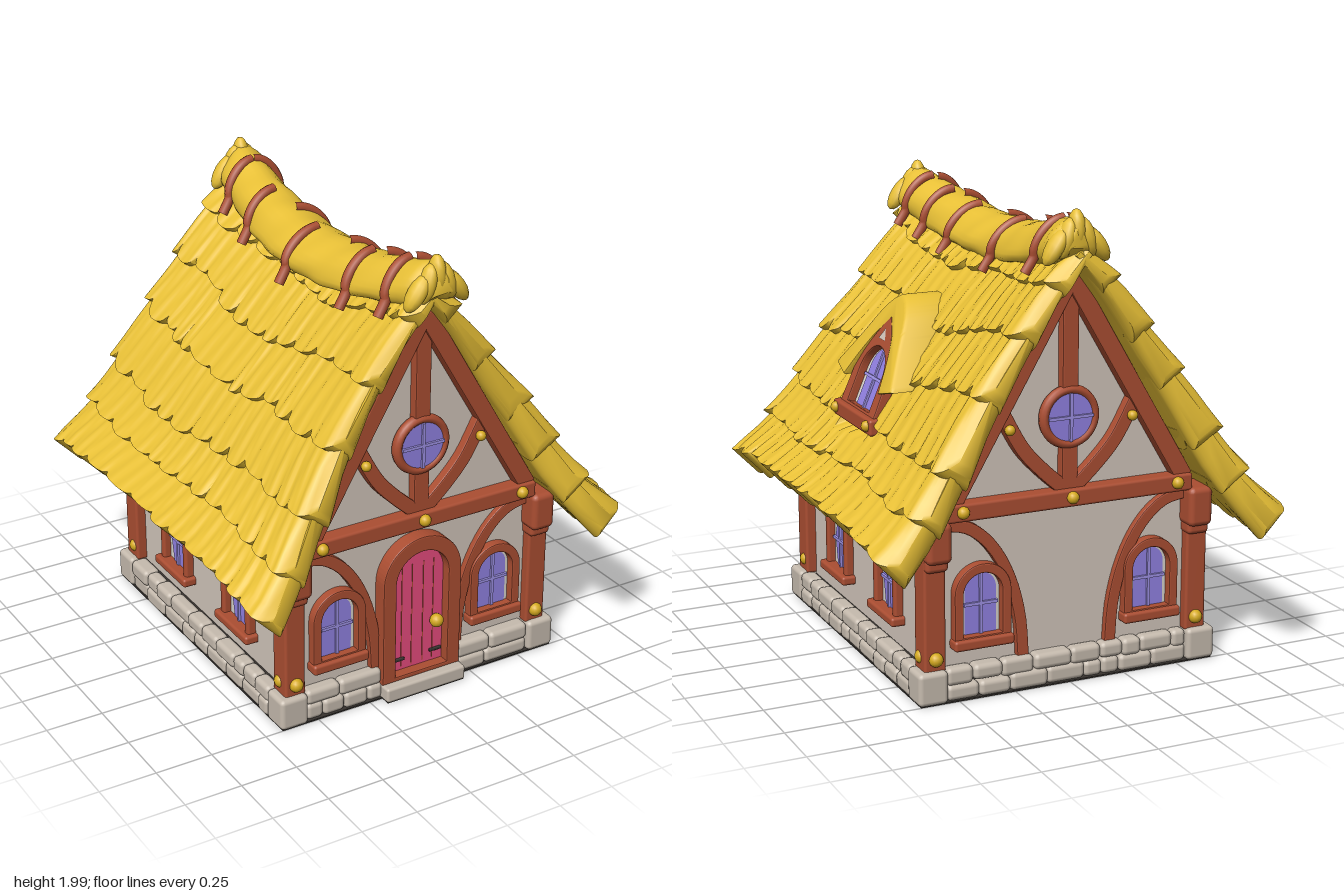
import * as THREE from 'three';
import { toCreasedNormals } from 'three/addons/utils/BufferGeometryUtils.js';
import { RoundedBoxGeometry } from 'three/addons/geometries/RoundedBoxGeometry.js';

const mat = (name, color) => Object.assign(new THREE.MeshStandardMaterial({ color }), { name });
const M = {
  thatch: mat('thatch', 0xe8c036), wood: mat('timber', 0xab4e32), plaster: mat('plaster', 0xd2c6bb),
  stone: mat('stone', 0xc6bbae), mortar: mat('dark mortar', 0x38332f), glass: mat('violet glass', 0x9282e4),
  lead: mat('glazing bar', 0xa598f0), door: mat('pink paint', 0xee4f82), brass: mat('brass', 0xd6ab20),
  curtain: mat('curtain', 0xd9d4cc),
};
let seed = 7;
const rnd = () => (seed = (seed * 16807) % 2147483647) / 2147483647;
const V2 = (x, y) => new THREE.Vector2(x, y);

function add(parent, name, geo, material, x = 0, y = 0, z = 0) {
  const m = new THREE.Mesh(geo, material);
  m.name = name;
  m.position.set(x, y, z);
  parent.add(m);
  return m;
}
const box = (p, name, material, w, h, d, x, y, z, r = 0.012) =>
  add(p, name, new RoundedBoxGeometry(w, h, d, 2, r), material, x, y, z);
const slab = (p, name, shape, depth, material, z = 0, bevel = 0.006) => add(p, name, new THREE.ExtrudeGeometry(shape,
  { depth, bevelEnabled: bevel > 0, bevelSize: bevel, bevelThickness: bevel, bevelSegments: 2, curveSegments: 16 }), material, 0, 0, z);
const bolt = (p, x, y, z, r = 0.026) => add(p, 'brassStud', new THREE.SphereGeometry(r, 14, 10), M.brass, x, y, z);

// Doorway outline: straight sides and a round top
function arch(w, y0, y1) {
  const s = new THREE.Shape([V2(-w, y0), V2(w, y0), V2(w, y1 - w)]);
  s.absarc(0, y1 - w, w, 0, Math.PI);
  s.closePath();
  return s;
}
// Timber of even width along a flat curve
function timber(p, name, pts, width, depth = 0.035) {
  const c = new THREE.SplineCurve(pts.map(([x, y]) => V2(x, y))), n = pts.length > 2 ? 18 : 1, L = [], R = [];
  for (let i = 0; i <= n; i++) {
    const q = c.getPoint(i / n), t = c.getTangent(i / n);
    L.push(V2(q.x - t.y * width / 2, q.y + t.x * width / 2));
    R.unshift(V2(q.x + t.y * width / 2, q.y - t.x * width / 2));
  }
  return slab(p, name, new THREE.Shape([...L, ...R]), depth, M.wood);
}
// Solid through matching closed cross-sections, capped at both ends
function loft(rings, flip = false, crease = 0.7) {
  const n = rings[0].length, pos = [], idx = [];
  const tri = (a, b, c) => (flip ? idx.push(a, c, b) : idx.push(a, b, c));
  rings.forEach((r) => r.forEach((q) => pos.push(...q)));
  for (let i = 0; i < rings.length - 1; i++) for (let j = 0; j < n; j++) {
    const a = i * n + j, b = i * n + (j + 1) % n;
    tri(a, a + n, b);
    tri(b, a + n, b + n);
  }
  const e = (rings.length - 1) * n;
  for (let j = 1; j < n - 1; j++) { tri(0, j, j + 1); tri(e, e + j + 1, e + j); }
  const g = new THREE.BufferGeometry();
  g.setAttribute('position', new THREE.Float32BufferAttribute(pos, 3));
  g.setIndex(idx);
  return toCreasedNormals(g, crease);
}

// Roof slope from ridge to eave
const slope = new THREE.SplineCurve([[0, 1.84], [0.15, 1.68], [0.31, 1.46], [0.47, 1.24], [0.62, 1.0], [0.74, 0.83], [0.88, 0.68]].map(([x, y]) => V2(x, y)));
const sag = (z) => 0.1 * (1 - Math.min(1, (z / 0.82) ** 2));
const COURSES = 6, LOBES = 13;
// Gable overhang, widening towards the eave
function overhang(t, side, back) {
  const wide = Math.max(0, (t - 0.3) / 0.7) ** 1.4;
  return back ? 0.84 + (side < 0 ? 0.13 : 0.06) * wide : 0.76 + 0.03 * (1 - t) ** 4 + (side < 0 ? 0.2 : 0.17) * wide;
}

function thatchCourse(k, side) {
  const last = k === COURSES - 1, t0 = Math.max(0, k / COURSES - 0.08), t1 = (k + 1) / COURSES - 0.04;
  const widths = Array.from({ length: LOBES }, () => 0.5 + rnd()), sum = widths.reduce((a, b) => a + b);
  const cols = [];
  let at = -1;
  widths.forEach((w, i) => {
    const drop = 0.35 + 0.65 * rnd(), step = (2 * w) / sum;
    for (let j = 0; j < 12 + (i === LOBES - 1); j++) cols.push([at + step * j / 12, drop * Math.sqrt(Math.max(0, 4 * j / 12 * (1 - j / 12)))]);
    at += step;
  });
  const phase = rnd() * 6, flare = 0.02 + 0.02 * rnd();
  const rings = cols.map(([s, h]) => {
    const e = Math.max(0, (Math.abs(s) - 0.94) / 0.06), round = Math.sqrt(Math.max(0.15, 1 - 0.85 * e * e));
    const wander = last ? 0 : 0.016 * Math.sin(s * 5 + phase);
    const point = (f, outer) => {
      const t = t0 + (t1 + wander + 0.04 * h - 0.02 * e * e - t0) * f, q = slope.getPoint(t), d = slope.getTangent(t);
      const z = s * (overhang(t, side, s < 0) + flare * f * f - Math.max(0, t - 0.92) * 0.4);
      // Hollow behind the dormer window
      const dent = side > 0 && Math.abs(z - 0.035) < 0.15 && t > 0.42 && t < 0.66 ? 0.06 : 0;
      const furrow = 0.003 * Math.sin(s * 67 + phase + f * 3) + 0.002 * Math.sin(s * 121 + phase * 2 - f * 2);
      let lift = outer ? 0.006 + (0.028 + 0.012 * h) * f + furrow - dent : -0.05 - 0.075 * Math.min(1, t * 1.6);
      lift = -0.045 + (lift + 0.045) * round;
      const hang = last && !outer && f === 1 ? 0.015 * h : 0;
      const droop = t ** 3 * (0.025 - 0.07 * s ** 4);
      return [side * (q.x - d.y * lift), q.y + d.x * lift - sag(z) * (1 - t ** 1.4) - hang + droop, z];
    };
    return [...[0, 0.25, 0.5, 0.75, 0.93, 1].map((f) => point(f, true)), ...[1, 0.5, 0].map((f) => point(f, false))];
  });
  return loft(rings, side < 0, 0.9);
}

// Ridge roll centre line and half sizes
const ridge = (z) => {
  const u = Math.abs(z) / 0.8;
  return { x: 0.025 - 0.07 * (1 - u * u), y: 1.75 + 0.12 * u ** 1.8 - 0.02 * (z > 0) * u, rx: 0.165 - 0.05 * u, ry: 0.083 + 0.01 * u };
};

function buildRoof(root) {
  const roof = new THREE.Group();
  roof.name = 'thatchedRoof';
  root.add(roof);
  for (const side of [1, -1]) for (let k = 0; k < COURSES; k++) add(roof, 'thatchCourse', thatchCourse(k, side), M.thatch);
  const rings = [];
  for (let i = 0; i <= 56; i++) {
    const w = i / 28 - 1, z = w * 0.83 - 0.015, c = ridge(z), end = Math.sqrt(Math.max(0.12, 1 - Math.max(0, (Math.abs(w) - 0.9) / 0.1) ** 2));
    rings.push(Array.from({ length: 28 }, (_, j) => {
      const a = -j / 28 * Math.PI * 2, r = end * (1 + 0.03 * Math.sin(a * 5 + z * 9) + 0.03 * Math.sin(z * 31 + a * 2));
      // The lower sides droop over the slopes
      return [c.x + Math.cos(a) * c.rx * r, c.y + Math.sin(a) * c.ry * r - 0.04 * Math.cos(a) ** 2, z];
    }));
  }
  add(roof, 'ridgeRoll', loft(rings, false, 1), M.thatch);
  // Drooping straw tufts at the ridge ends
  for (const e of [1, -1]) for (let i = -2; i <= 2; i++) {
    const t = add(roof, 'ridgeTuft', new THREE.SphereGeometry(1, 12, 8), M.thatch, 0.02 + i * 0.045, 1.88 - Math.abs(i) * 0.03 + (e < 0 ? 0.025 : 0), e * 0.79 - 0.015);
    t.scale.set(0.036, 0.085, 0.045);
    t.rotation.z = i * 0.3;
  }
  // Bindings: z position and side of the ridge
  for (const [z, s] of [[0.65, 1], [0.47, 1], [0.22, 1], [-0.22, 1], [-0.66, 1], [0.63, -1], [0.4, -1], [-0.01, -1], [-0.41, -1], [-0.66, -1]]) {
    const c = ridge(z), pts = [];
    for (let i = 0; i <= 8; i++) {
      const a = 1.55 - i * 0.21;
      pts.push(new THREE.Vector3(c.x + s * Math.cos(a) * (c.rx + 0.002), c.y + Math.sin(a) * (c.ry + 0.004) - 0.04 * Math.cos(a) ** 2, z + 0.02 * (i / 8 - 0.5)));
    }
    pts.push(new THREE.Vector3(c.x + s * (c.rx + 0.04), c.y - 0.12, z + 0.015));
    add(roof, 'ridgeBinding', new THREE.TubeGeometry(new THREE.CatmullRomCurve3(pts), 24, 0.022, 8), M.wood);
  }
}

// Glazing bars on a window, crossing at the middle height
function bars(g, w, y0, y1, z = 0.012) {
  add(g, 'glazingBar', new THREE.BoxGeometry(0.013, y1 - y0, 0.012), M.lead, 0, (y0 + y1) / 2, z);
  add(g, 'glazingBar', new THREE.BoxGeometry(2 * w, 0.013, 0.012), M.lead, 0, (y0 + y1) / 2, z);
}
const pane = (g, name, shape, m, z) => add(g, name, new THREE.ShapeGeometry(shape, 20), m, 0, 0, z);

function archWindow(parent, x) {
  const g = new THREE.Group();
  g.name = 'archedWindow';
  g.position.x = x;
  parent.add(g);
  const frame = arch(0.12, 0.23, 0.56);
  frame.holes.push(arch(0.092, 0.255, 0.531));
  slab(g, 'windowFrame', frame, 0.035, M.wood);
  box(g, 'windowSill', M.wood, 0.265, 0.045, 0.07, 0, 0.232, 0.025);
  pane(g, 'curtain', arch(0.095, 0.25, 0.535), M.curtain, 0.004);
  pane(g, 'glass', arch(0.07, 0.255, 0.52), M.glass, 0.008);
  bars(g, 0.075, 0.255, 0.525);
}

function squareWindow(parent, x) {
  const g = new THREE.Group();
  g.name = 'squareWindow';
  g.position.x = x;
  parent.add(g);
  for (const s of [-1, 1]) box(g, 'windowJamb', M.wood, 0.036, 0.29, 0.045, s * 0.105, 0.39, 0.015);
  box(g, 'windowHead', M.wood, 0.255, 0.036, 0.05, 0, 0.525, 0.017);
  box(g, 'windowSill', M.wood, 0.285, 0.04, 0.07, 0, 0.248, 0.025);
  add(g, 'curtain', new THREE.PlaneGeometry(0.18, 0.25), M.curtain, 0, 0.388, 0.004);
  pane(g, 'glass', new THREE.Shape([[-0.045, 0.265], [0.045, 0.265], [0.07, 0.39], [0.03, 0.51], [-0.03, 0.51], [-0.07, 0.39]].map(([a, b]) => V2(a, b))), M.glass, 0.008);
  bars(g, 0.075, 0.265, 0.51);
}

function buildGable(root, front) {
  const g = new THREE.Group();
  g.name = front ? 'frontGable' : 'backGable';
  g.position.z = front ? 0.69 : -0.69;
  g.rotation.y = front ? 0 : Math.PI;
  root.add(g);
  box(g, 'crossBeam', M.wood, 1.12, 0.075, 0.09, 0, 0.795, 0.02);
  timber(g, 'kingPost', [[0, 1.24], [0, 1.7]], 0.06);
  timber(g, 'kingPostFoot', [[0, 0.8], [0, 1.03]], 0.06);
  const ring = add(g, 'roundWindowFrame', new THREE.TorusGeometry(0.113, 0.02, 10, 40), M.wood, 0, 1.13, 0.025);
  ring.scale.z = 1.3;
  add(g, 'glass', new THREE.CircleGeometry(0.105, 32), M.glass, 0, 1.13, 0.042);
  bars(g, 0.1, 1.03, 1.23, 0.046);
  for (const s of [-1, 1]) {
    timber(g, 'rafter', [[s * 0.005, 1.7], [s * 0.525, 0.82]], 0.065, 0.045);
    timber(g, 'curvedStrut', [[s * 0.02, 0.83], [s * 0.12, 0.92], [s * 0.21, 1.02], [s * 0.29, 1.16]], 0.05);
    const arc = [];
    for (let i = 0; i <= 6; i++) arc.push([s * (0.535 - 0.335 * Math.sin(i * Math.PI / 12)), 0.14 + 0.6 * Math.cos(i * Math.PI / 12)]);
    timber(g, 'curvedBrace', arc, 0.04, 0.022);
    bolt(g, s * 0.485, 0.8, 0.07);
    bolt(g, s * 0.275, 1.11, 0.055, 0.022);
    archWindow(g, s * 0.385);
  }
  bolt(g, 0, 0.8, 0.07);
  if (!front) return;
  // Door with planks, hinges and knob
  const frame = arch(0.185, 0.07, 0.715);
  frame.holes.push(arch(0.134, 0.08, 0.659));
  slab(g, 'doorFrame', frame, 0.06, M.wood);
  slab(g, 'door', arch(0.138, 0.075, 0.663), 0.02, M.door, 0, 0);
  for (const x of [-0.075, -0.025, 0.03, 0.08]) add(g, 'plankGroove', new THREE.BoxGeometry(0.003, 0.48, 0.004), M.wood, x, 0.34, 0.021);
  for (const s of [-1, 1]) box(g, 'hinge', M.mortar, 0.06, 0.014, 0.012, s * 0.092, 0.14, 0.026, 0.004);
  bolt(g, 0.085, 0.29, 0.045, 0.03);
  box(g, 'doorStep', M.stone, 0.39, 0.065, 0.14, 0, 0.0345, 0.04);
}

function buildDormer(root) {
  const g = new THREE.Group();
  g.name = 'dormer';
  g.rotation.y = Math.PI / 2;
  g.position.z = 0.035;
  root.add(g);
  // Thatched hood, sheared to lean back with the roof
  const hood = new THREE.Shape([V2(-0.29, 1.19)]);
  hood.splineThru([V2(-0.2, 1.31), V2(-0.1, 1.45), V2(0, 1.505), V2(0.1, 1.45), V2(0.2, 1.31), V2(0.29, 1.19)]);
  hood.lineTo(0.2, 1.17);
  hood.splineThru([V2(0.15, 1.27), V2(0.08, 1.37), V2(0, 1.41), V2(-0.08, 1.37), V2(-0.15, 1.27), V2(-0.2, 1.17)]);
  const mesh = slab(g, 'dormerThatch', hood, 0.26, M.thatch, 0, 0.015), p = mesh.geometry.attributes.position;
  for (let i = 0; i < p.count; i++) p.setZ(i, p.getZ(i) + 0.14 + (1.5 - p.getY(i)) * 0.56);
  mesh.geometry = toCreasedNormals(mesh.geometry, 0.8);
  // Leaning window
  const w = new THREE.Group();
  w.name = 'dormerWindow';
  w.position.set(0, 1.03, 0.585);
  w.rotation.x = -0.4;
  g.add(w);
  const outline = () => {
    const s = new THREE.Shape([V2(-0.18, 0), V2(0.18, 0), V2(0.17, 0.15)]);
    s.quadraticCurveTo(0.12, 0.3, 0, 0.41);
    s.quadraticCurveTo(-0.12, 0.3, -0.17, 0.15);
    return s;
  };
  slab(w, 'dormerWall', outline(), 0.16, M.plaster, -0.17, 0);
  const frame = outline();
  frame.holes.push(arch(0.125, 0.01, 0.29));
  slab(w, 'dormerFrame', frame, 0.035, M.wood);
  pane(w, 'dormerPeak', new THREE.Shape([V2(-0.035, 0.315), V2(0.035, 0.315), V2(0, 0.365)]), M.plaster, 0.044);
  pane(w, 'curtain', arch(0.13, 0, 0.295), M.curtain, 0.004);
  pane(w, 'glass', arch(0.09, 0, 0.28), M.glass, 0.008);
  bars(w, 0.1, 0.01, 0.29);
  box(g, 'dormerSill', M.wood, 0.42, 0.07, 0.1, 0, 1.015, 0.597);
  for (const s of [-1, 1]) bolt(g, s * 0.175, 1.02, 0.647, 0.024);
}

function buildFoundation(root) {
  const g = new THREE.Group();
  g.name = 'stoneFoundation';
  root.add(g);
  add(g, 'mortarCore', new THREE.BoxGeometry(1.28, 0.125, 1.36), M.mortar, 0, 0.0635, 0);
  add(g, 'underside', new THREE.BoxGeometry(1.34, 0.006, 1.5), M.mortar, 0, 0.003, 0);
  add(g, 'stepUnderside', new THREE.BoxGeometry(0.38, 0.006, 0.1), M.mortar, 0, 0.003, 0.745);
  for (const x of [-1, 1]) for (const z of [-1, 1]) box(g, 'cornerStone', M.stone, 0.13, 0.14, 0.13, x * 0.615, 0.072, z * 0.695, 0.02);
  // Two rows of stones per run: turn, start, end, distance out
  const runs = [[0, -0.55, -0.185, 0.72], [0, 0.185, 0.55, 0.72], [1, -0.63, 0.63, 0.65], [2, -0.55, 0.55, 0.72], [3, -0.63, 0.63, 0.65]];
  for (const [turn, start, end, out] of runs) {
    const side = new THREE.Group();
    side.name = 'stoneCourses';
    side.rotation.y = turn * Math.PI / 2;
    g.add(side);
    for (let row = 0; row < 2; row++) for (let x = start; x < end - 0.001;) {
      let w = 0.08 + 0.1 * rnd();
      if (end - x - w < 0.06) w = end - x;
      const tall = 0.066 + 0.012 * rnd();
      box(side, 'stone', M.stone, w + 0.002, tall, 0.06 + 0.02 * rnd(), x + w / 2, row ? 0.142 - tall / 2 : 0.002 + tall / 2, out - 0.008, 0.022);
      x += w;
    }
  }
}

export function createModel() {
  const root = new THREE.Group();
  root.name = 'thatchedCottage';
  buildFoundation(root);
  slab(root, 'plasterWalls', new THREE.Shape([V2(-0.6, 0.1), V2(0.6, 0.1), V2(0.6, 0.73), V2(0, 1.73), V2(-0.6, 0.73)]), 1.38, M.plaster, -0.69, 0);
  buildGable(root, true);
  buildGable(root, false);
  for (const s of [-1, 1]) {
    const wall = new THREE.Group();
    wall.name = s > 0 ? 'leftWall' : 'rightWall';
    wall.position.x = s * 0.6;
    wall.rotation.y = s * Math.PI / 2;
    root.add(wall);
    squareWindow(wall, -0.28);
    squareWindow(wall, 0.28);
    // Corner posts with brackets
    for (const e of [-1, 1]) {
      box(root, 'cornerPost', M.wood, 0.095, 0.52, 0.105, s * 0.598, 0.39, e * 0.68);
      box(root, 'postBracket', M.wood, 0.11, 0.17, 0.16, s * 0.592, 0.685, e * 0.7, 0.025);
      box(root, 'bracketFoot', M.wood, 0.1, 0.06, 0.13, s * 0.594, 0.59, e * 0.69, 0.02);
      bolt(root, s * 0.597, 0.19, e * 0.735, 0.03);
      bolt(root, s * 0.632, 0.19, e * 0.67, 0.03);
    }
  }
  buildRoof(root);
  buildDormer(root);
  return root;
}
